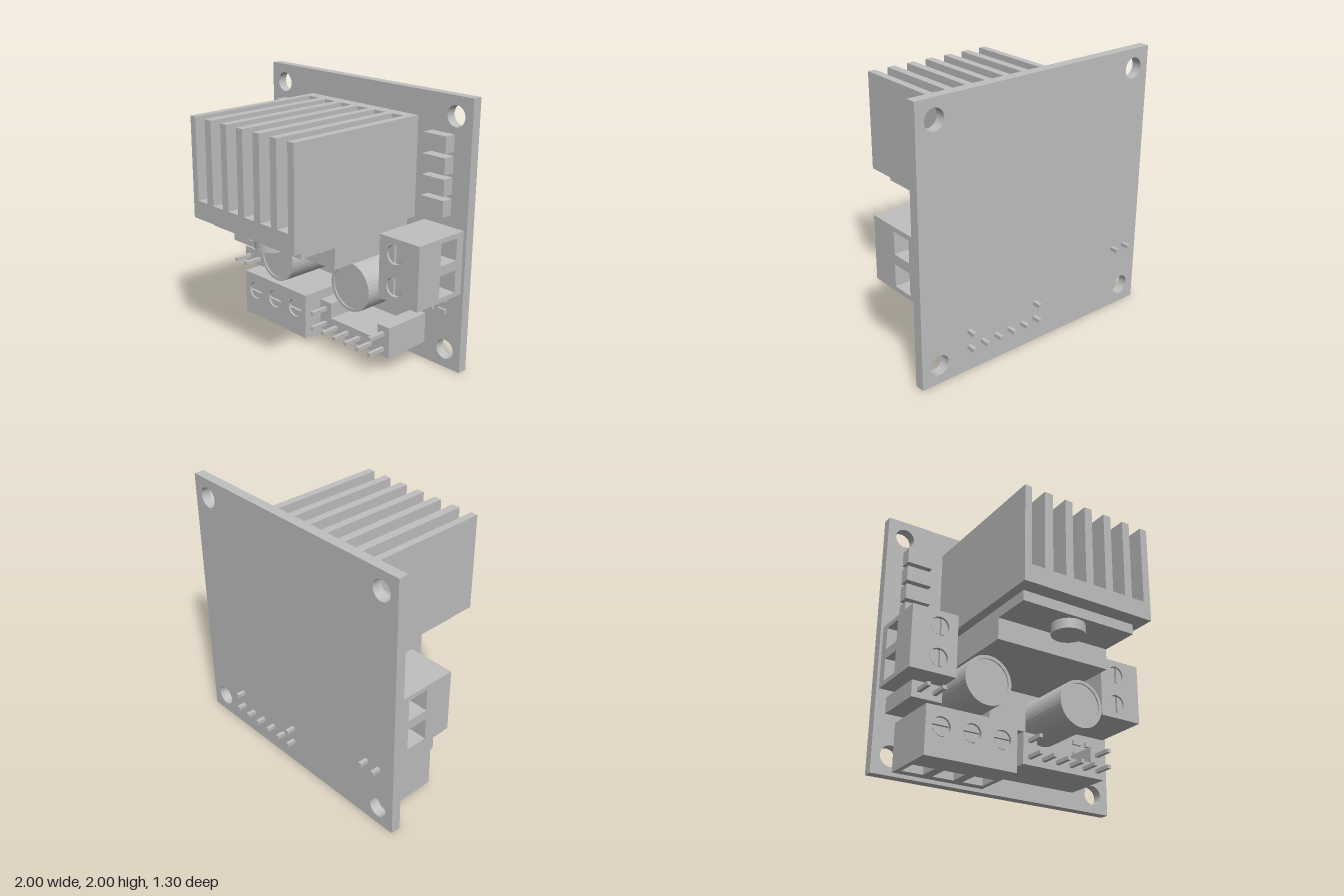
import * as THREE from 'three';

const BACK = -0.585, FACE = -0.51; // circuit board back and front planes

export function createModel() {
  const model = new THREE.Group();
  model.name = 'motorDriverBoard';
  const grey = new THREE.MeshStandardMaterial({ color: 0xbfbfbf });
  grey.name = 'plain grey';

  const add = (name, geometry, parent = model) => {
    const mesh = new THREE.Mesh(geometry, grey);
    mesh.name = name;
    parent.add(mesh);
    return mesh;
  };
  // Box given by its extents
  const box = (name, x0, x1, y0, y1, z0, z1, parent) => {
    const mesh = add(name, new THREE.BoxGeometry(x1 - x0, y1 - y0, z1 - z0), parent);
    mesh.position.set((x0 + x1) / 2, (y0 + y1) / 2, (z0 + z1) / 2);
    return mesh;
  };
  const polygon = (points) => new THREE.Shape(points.map(([x, y]) => new THREE.Vector2(x, y)));
  const rect = (x0, x1, y0, y1) => polygon([[x0, y0], [x1, y0], [x1, y1], [x0, y1]]);
  const circle = (x, y, r) => new THREE.Path().absarc(x, y, r, 0, Math.PI * 2, true);
  const extrude = (shape, depth) =>
    new THREE.ExtrudeGeometry(shape, { depth, bevelEnabled: false, curveSegments: 32 });

  // Circuit board with four mounting holes
  const board = rect(-1, 1, 0, 2);
  for (const x of [-0.86, 0.86]) for (const y of [0.14, 1.86]) board.holes.push(circle(x, y, 0.075));
  add('circuitBoard', extrude(board, FACE - BACK)).position.z = BACK;

  // Heat sink: floor, back wall and seven fins
  const sink = new THREE.Group();
  sink.name = 'heatSink';
  model.add(sink);
  box('heatSinkFloor', -0.535, 0.53, 1.075, 1.21, FACE, 0.65, sink);
  box('heatSinkWall', -0.535, 0.53, 1.21, 1.815, FACE, -0.42, sink);
  const slots = [-0.48, -0.308, -0.14, 0.028, 0.197, 0.365];
  for (let i = 0; i < 7; i++) {
    const x0 = i ? slots[i - 1] + 0.106 : -0.535;
    const x1 = i < 6 ? slots[i] : 0.53;
    box('heatSinkFin', x0, x1, 1.21, 1.815, -0.42, 0.65, sink);
  }

  // Driver chip bolted beneath the heat sink
  box('chipTab', -0.465, 0.46, 1.0, 1.075, FACE, 0.53);
  box('chipBody', -0.465, 0.46, 0.84, 1.0, FACE, 0.22);
  add('chipBolt', new THREE.CylinderGeometry(0.122, 0.122, 0.075, 32)).position.set(0, 0.9625, 0.385);

  // Capacitors with a slightly sunken top
  for (const x of [-0.4, 0.39]) {
    const profile = [[0, 0], [0.185, 0], [0.185, 0], [0.185, 0.51], [0.185, 0.51],
      [0.16, 0.51], [0.16, 0.51], [0.16, 0.5], [0.16, 0.5], [0, 0.5]];
    const geometry = new THREE.LatheGeometry(profile.map(([r, y]) => new THREE.Vector2(r, y)), 40);
    // Lathe normals are averaged at the rim, so rebuild them as hard facets
    const flat = geometry.toNonIndexed();
    flat.computeVertexNormals();
    flat.rotateX(Math.PI / 2);
    add('capacitor', flat).position.set(x, 0.63, FACE);
  }

  // Screw terminal block: length along x, wire openings on the -y side
  const terminal = (name, count, length, x, y, angle) => {
    const group = new THREE.Group();
    group.name = name;
    group.position.set(x, y, FACE);
    group.rotation.z = angle;
    model.add(group);
    const half = length / 2, w = 0.1775, high = 0.46, sunk = 0.03, deep = 0.15, screwY = 0.0375;
    const lid = rect(-half, half, -w, w);
    const front = rect(-half, half, 0, high - sunk);
    for (let i = 0; i < count; i++) {
      const u = (i - (count - 1) / 2) * 0.236;
      lid.holes.push(circle(u, screwY, 0.07));
      front.holes.push(rect(u - 0.082, u + 0.082, 0.07, 0.235));
      // Slotted screw head made of two half discs
      for (const turn of [0, Math.PI]) {
        const a = Math.asin(0.012 / 0.063);
        const halfDisc = new THREE.Shape().absarc(0, 0, 0.063, a, Math.PI - a, false);
        const head = add('screwHead', extrude(halfDisc, 0.022), group);
        head.position.set(u, screwY, high - sunk);
        head.rotation.z = turn;
      }
    }
    add('terminalLid', extrude(lid, sunk), group).position.z = high - sunk;
    const face = add('terminalFront', extrude(front, deep), group);
    face.rotation.x = Math.PI / 2;
    face.position.y = -w + deep;
    box('terminalBody', -half, half, -w + deep, w, 0, high - sunk, group);
  };
  terminal('rightTerminal', 2, 0.47, -0.8025, 0.845, -Math.PI / 2);
  terminal('leftTerminal', 2, 0.47, 0.7975, 0.845, Math.PI / 2);
  terminal('powerTerminal', 3, 0.71, -0.485, 0.2055, 0);

  // Diode columns on both sides of the heat sink
  for (const x of [-0.765, 0.755])
    for (let i = 0; i < 4; i++) {
      const y = 1.225 + i * 0.15;
      box('diode', x - 0.1, x + 0.1, y - 0.06, y + 0.06, FACE, -0.42);
    }

  // Voltage regulator
  box('regulatorBody', -0.17, 0.14, 0.47, 0.75, FACE, -0.36);
  box('regulatorTab', -0.135, 0.11, 0.75, 0.81, FACE, -0.47);
  for (const x of [-0.105, 0.085]) box('regulatorLeg', x - 0.018, x + 0.018, 0.41, 0.47, FACE, -0.47);

  // Small surface parts
  box('smallChip', 0.19, 0.275, 0.39, 0.445, FACE, -0.47);
  for (const x of [0.71, 0.825])
    for (const y of [0.437, 0.533]) box('resistor', x - 0.035, x + 0.035, y - 0.018, y + 0.018, FACE, -0.49);

  // Pin headers: pins run through the board
  const pin = (x, y) => box('pin', x - 0.014, x + 0.014, y - 0.014, y + 0.014, -0.65, 0.025);
  box('jumperBase', -0.92, -0.69, 0.435, 0.555, FACE, -0.12);
  for (const x of [-0.865, -0.748]) pin(x, 0.49);
  const header = polygon([[-0.035, 0.13], [0.668, 0.13], [0.668, 0.365], [0.555, 0.365],
    [0.555, 0.245], [0.08, 0.245], [0.08, 0.365], [-0.035, 0.365]]);
  add('headerBase', extrude(header, 0.39)).position.z = FACE;
  for (let i = 0; i < 6; i++) pin(0.02 + i * 0.118, 0.187);
  for (const x of [0.02, 0.61]) pin(x, 0.307);

  return model;
}
